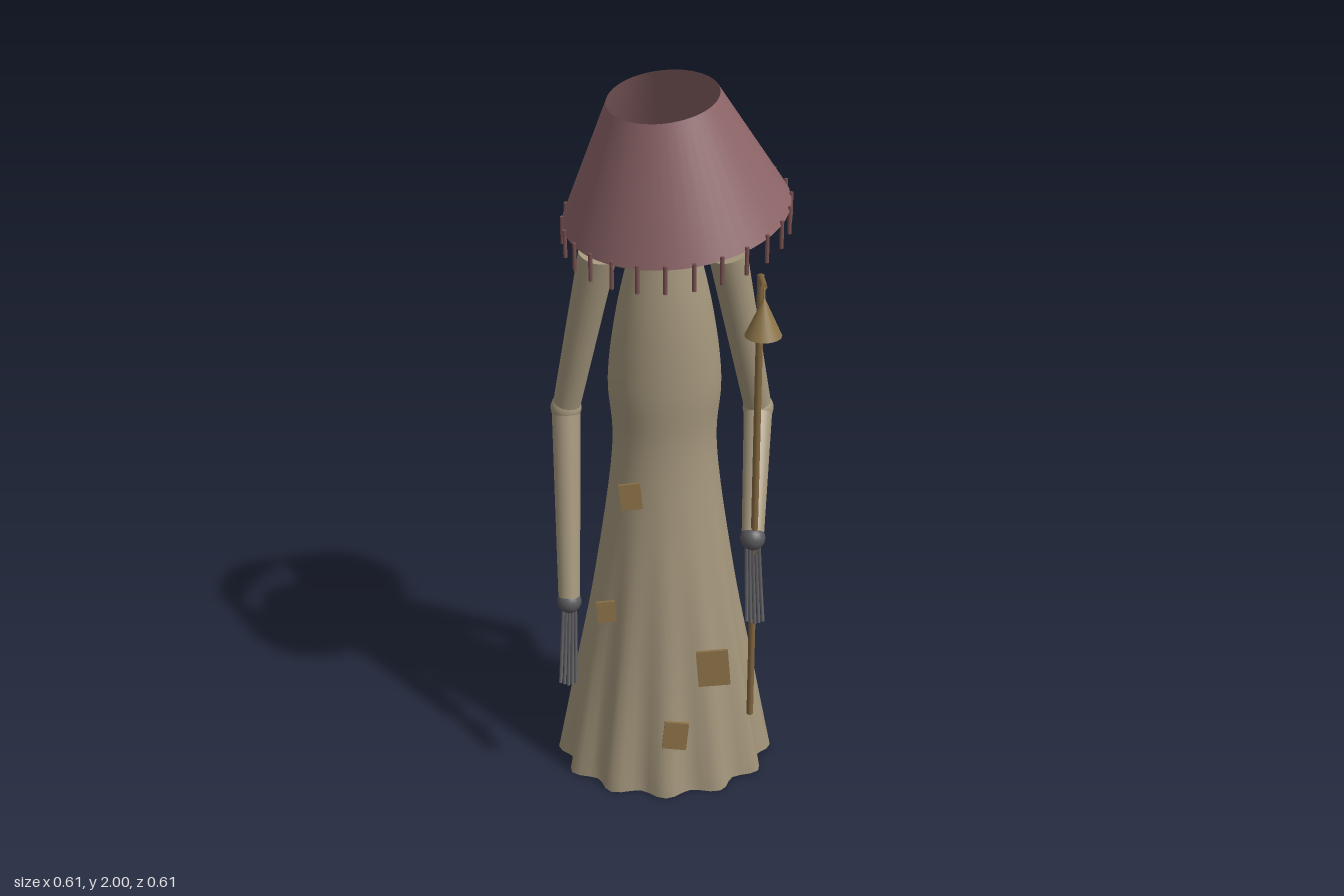
import * as THREE from 'three';

const V = (x, y, z) => new THREE.Vector3(x, y, z);
const UP = V(0, 1, 0);

export function createModel() {
  const root = new THREE.Group();
  const mat = (name, color, side = THREE.FrontSide) => {
    const m = new THREE.MeshStandardMaterial({ color, side });
    m.name = name;
    return m;
  };
  const robe = mat('robe cloth', 0xa4967c, THREE.DoubleSide);
  const shadeMat = mat('dusty rose shade', 0x8c6467, THREE.DoubleSide);
  const fringeMat = mat('fringe', 0x76504f);
  const skin = mat('dark grey', 0x58585c);
  const bulb = mat('bulb white', 0xe2e0dc);
  const brass = mat('brass', 0x8c7448, THREE.DoubleSide);
  const wood = mat('staff wood', 0x80653e);
  const patchMat = mat('patch cloth', 0x8a7046);

  const add = (name, geo, material, pos, parent = root) => {
    const m = new THREE.Mesh(geo, material);
    m.name = name;
    if (pos) m.position.copy(pos);
    parent.add(m);
    return m;
  };
  // cylinder running from a to b
  const limb = (name, a, b, ra, rb, material, parent = root, seg = 20, open = false) => {
    const d = b.clone().sub(a);
    const geo = new THREE.CylinderGeometry(rb, ra, d.length(), seg, 1, open);
    const m = add(name, geo, material, a.clone().lerp(b, 0.5), parent);
    m.quaternion.setFromUnitVectors(UP, d.normalize());
    return m;
  };

  // Robe: half width and height, with front and back depth, from hem to neck
  const side = new THREE.CatmullRomCurve3([
    V(0.285, 0, 0), V(0.238, 0.3, 0), V(0.185, 0.62, 0), V(0.137, 1.0, 0), V(0.146, 1.2, 0),
    V(0.122, 1.4, 0), V(0.075, 1.61, 0)], false, 'catmullrom');
  const depth = new THREE.CatmullRomCurve3([
    V(0.165, -0.29, 0), V(0.14, -0.243, 0), V(0.118, -0.198, 0), V(0.085, -0.148, 0), V(0.09, -0.148, 0),
    V(0.083, -0.115, 0), V(0.055, -0.056, 0)], false, 'catmullrom');
  const rows = 37, rings = [];
  for (let i = 0; i < rows; i++) {
    const s = side.getPoint(i / (rows - 1)), d = depth.getPoint(i / (rows - 1));
    rings.push({ r: s.x, y: s.y, half: (d.x - d.y) / 2, mid: (d.x + d.y) / 2 });
  }
  const robeGeo = new THREE.LatheGeometry(rings.map(q => new THREE.Vector2(q.r, q.y)), 72, Math.PI);
  const p = robeGeo.attributes.position;
  for (let i = 0; i < p.count; i++) {
    const q = rings[i % rows];
    const a = Math.atan2(p.getX(i), p.getZ(i));
    const fold = 1 + 0.065 * Math.pow(Math.max(0, 1 - q.y / 0.95), 1.4) * Math.cos(12 * a);
    p.setXYZ(i, p.getX(i) * fold, q.y, (p.getZ(i) / q.r) * q.half * fold + q.mid);
  }
  robeGeo.computeVertexNormals();
  add('robe', robeGeo, robe);
  const collar = add('robeTop', new THREE.CircleGeometry(0.075, 32), robe, V(0, 1.609, 0));
  collar.rotation.x = -Math.PI / 2;
  collar.scale.y = 0.74;

  // Neck and bulb head
  limb('neck', V(0, 1.57, -0.01), V(0, 1.72, 0.055), 0.034, 0.03, skin);
  add('head', new THREE.SphereGeometry(0.09, 32, 24), bulb, V(-0.005, 1.77, 0.065));
  for (const s of [-1, 1])
    add('eye', new THREE.SphereGeometry(0.012, 12, 8), bulb, V(-0.005 + s * 0.028, 1.765, 0.143));

  // Tilted shade with a hanging fringe
  const low = V(0.028, 1.679, 0.018), high = V(-0.005, 1.975, 0.065);
  limb('lampshade', low, high, 0.28, 0.135, shadeMat, root, 48, true);
  const tilt = new THREE.Quaternion().setFromUnitVectors(UP, high.clone().sub(low).normalize());
  const fringe = new THREE.Group();
  fringe.name = 'fringe';
  root.add(fringe);
  const strand = new THREE.CylinderGeometry(0.005, 0.005, 0.07, 8);
  for (let i = 0; i < 26; i++) {
    const a = (i + 0.5) / 26 * Math.PI * 2;
    const at = V(Math.sin(a) * 0.28, 0, Math.cos(a) * 0.28).applyQuaternion(tilt).add(low);
    at.y -= 0.025;
    add('fringeStrand', strand, fringeMat, at, fringe);
  }

  // Arms with sleeves, elbows, hands and long fingers
  const arm = (name, shoulder, elbow, wrist, tip) => {
    const g = new THREE.Group();
    g.name = name;
    root.add(g);
    limb('upperArm', shoulder, elbow, 0.049, 0.036, robe, g);
    add('elbow', new THREE.SphereGeometry(0.041, 20, 14), robe, elbow, g);
    limb('forearm', elbow, wrist, 0.038, 0.029, robe, g);
    add('hand', new THREE.SphereGeometry(0.033, 18, 12), skin, wrist, g);
    for (let i = -2; i <= 2; i++) {
      const a = wrist.clone().add(V(i * 0.008, -0.015, 0.005));
      const b = tip.clone().add(V(i * 0.0105, Math.abs(i) * 0.004, 0));
      const m = a.clone().lerp(b, 0.55).add(V(0, -0.008, -0.008));
      add('finger', new THREE.TubeGeometry(new THREE.QuadraticBezierCurve3(a, m, b), 8, 0.0048, 6), skin, null, g);
    }
  };
  arm('rightArm', V(-0.166, 1.543, -0.025), V(-0.258, 1.075, -0.105), V(-0.258, 0.56, 0.035), V(-0.263, 0.34, 0.115));
  arm('leftArm', V(0.157, 1.543, -0.025), V(0.248, 1.07, -0.105), V(0.226, 0.81, 0.128), V(0.232, 0.59, 0.2));

  // Crooked staff with a hanging bell
  const staff = new THREE.Group();
  staff.name = 'staff';
  root.add(staff);
  limb('pole', V(0.23, 0.25, 0.127), V(0.229, 1.555, 0.143), 0.009, 0.009, wood, staff, 12);
  limb('crook', V(0.229, 1.55, 0.14), V(0.23, 1.568, 0.245), 0.008, 0.008, wood, staff, 12);
  limb('bellCord', V(0.23, 1.568, 0.243), V(0.23, 1.54, 0.258), 0.003, 0.003, wood, staff, 8);
  add('bell', new THREE.ConeGeometry(0.045, 0.1, 24, 1, true), brass, V(0.23, 1.5, 0.26), staff);

  // Patches on the front of the robe: x, y, z, width, height, roll
  for (const [x, y, z, w, h, roll] of [
    [-0.09, 0.92, 0.101, 0.056, 0.072, 0.1], [-0.157, 0.59, 0.135, 0.05, 0.06, 0.08],
    [0.127, 0.42, 0.155, 0.086, 0.105, 0.08], [0.026, 0.21, 0.172, 0.066, 0.082, -0.1]]) {
    const m = add('patch', new THREE.BoxGeometry(w, h, 0.009), patchMat, V(x, y, z));
    m.rotation.set(-0.09, 0, roll);
  }
  return root;
}
